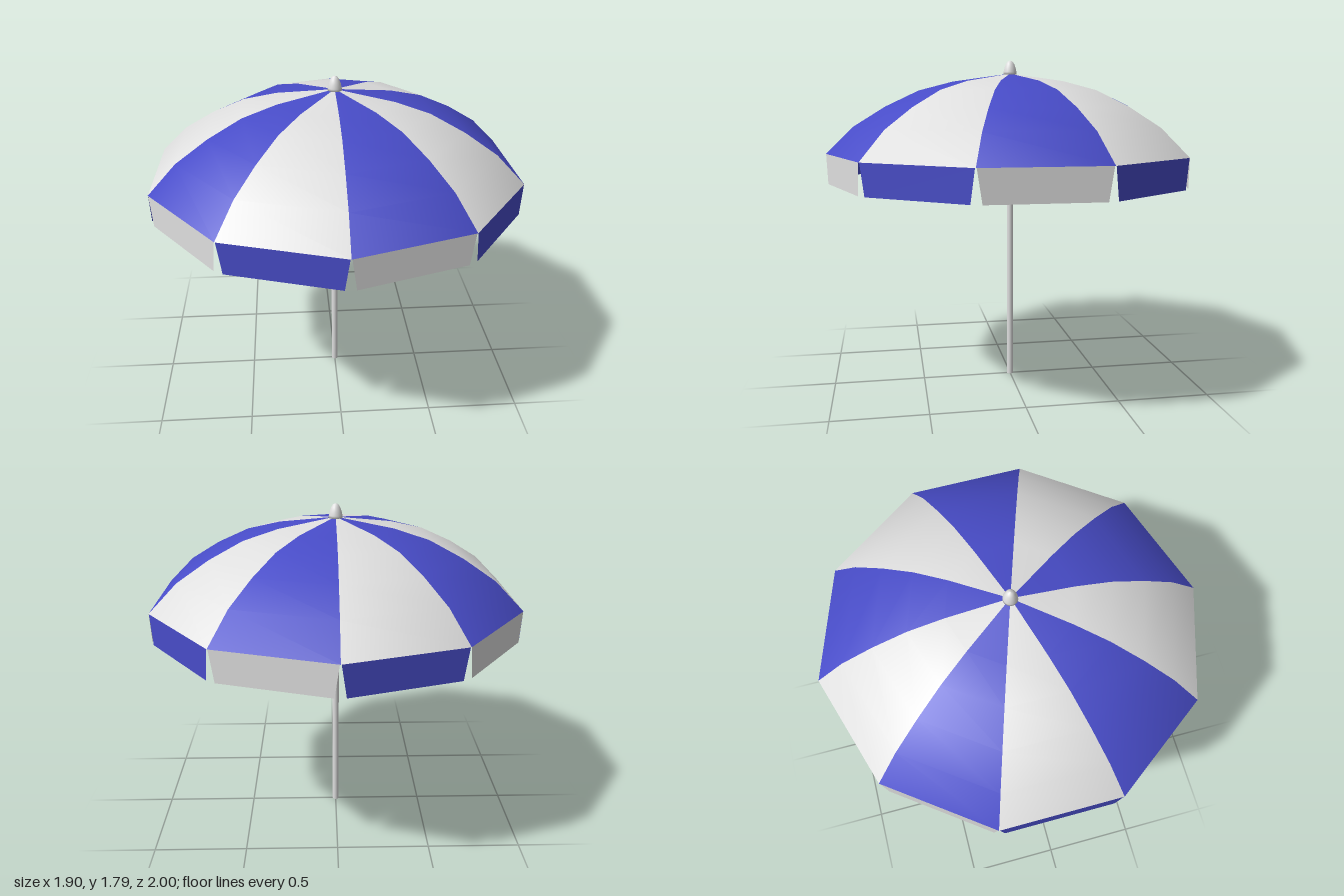
import * as THREE from 'three';

const SIDES = 10;
const STEP = (Math.PI * 2) / SIDES;
const RIM_Y = 1.295;
const HEM_Y = 1.135;

function material(name, color, side = THREE.FrontSide) {
  const m = new THREE.MeshStandardMaterial({ color, side });
  m.name = name;
  return m;
}

function addMesh(parent, name, geometry, mat) {
  const mesh = new THREE.Mesh(geometry, mat);
  mesh.name = name;
  parent.add(mesh);
  return mesh;
}

const profile = (pts) => pts.map(([r, y]) => new THREE.Vector2(r, y));

export function createModel() {
  const umbrella = new THREE.Group();
  umbrella.name = 'parasol';
  const blue = material('blue fabric', 0x484cc8, THREE.DoubleSide);
  const white = material('white fabric', 0xdfdfdf, THREE.DoubleSide);

  // Canopy: one curved panel per side, in alternating colours
  const canopy = new THREE.Group();
  canopy.name = 'canopy';
  umbrella.add(canopy);
  const rib = profile([
    [1, RIM_Y], [0.85, 1.44], [0.68, 1.545], [0.5, 1.63], [0.315, 1.678], [0, 1.722],
  ]);

  // Valance flap: a hanging trapezoid, cut in slightly at the hem
  const width = 2 * Math.sin(STEP / 2);
  const top = width / 2 - 0.004;
  const hem = width / 2 - 0.028;
  const flapShape = new THREE.Shape(
    profile([[-hem, HEM_Y], [hem, HEM_Y], [top, RIM_Y], [-top, RIM_Y]])
  );
  const flapGeometry = new THREE.ShapeGeometry(flapShape);
  flapGeometry.translate(0, 0, Math.cos(STEP / 2));

  const valance = new THREE.Group();
  valance.name = 'valance';
  umbrella.add(valance);

  for (let i = 0; i < SIDES; i++) {
    const even = i % 2 === 0;
    addMesh(canopy, 'canopyPanel', new THREE.LatheGeometry(rib, 1, i * STEP, STEP), even ? blue : white);
    const flap = addMesh(valance, 'valanceFlap', flapGeometry, even ? white : blue);
    flap.rotation.y = (i + 0.5) * STEP;
  }

  // Pole
  const pole = new THREE.CylinderGeometry(0.018, 0.018, 1.72, 20);
  pole.translate(0, 0.86, 0);
  addMesh(umbrella, 'pole', pole, white);

  // Rounded finial on the tip
  const finial = profile([
    [0, 1.712], [0.037, 1.715], [0.036, 1.73], [0.031, 1.752], [0.023, 1.773], [0.013, 1.787], [0, 1.792],
  ]);
  addMesh(umbrella, 'finial', new THREE.LatheGeometry(finial, 20), white);

  return umbrella;
}
